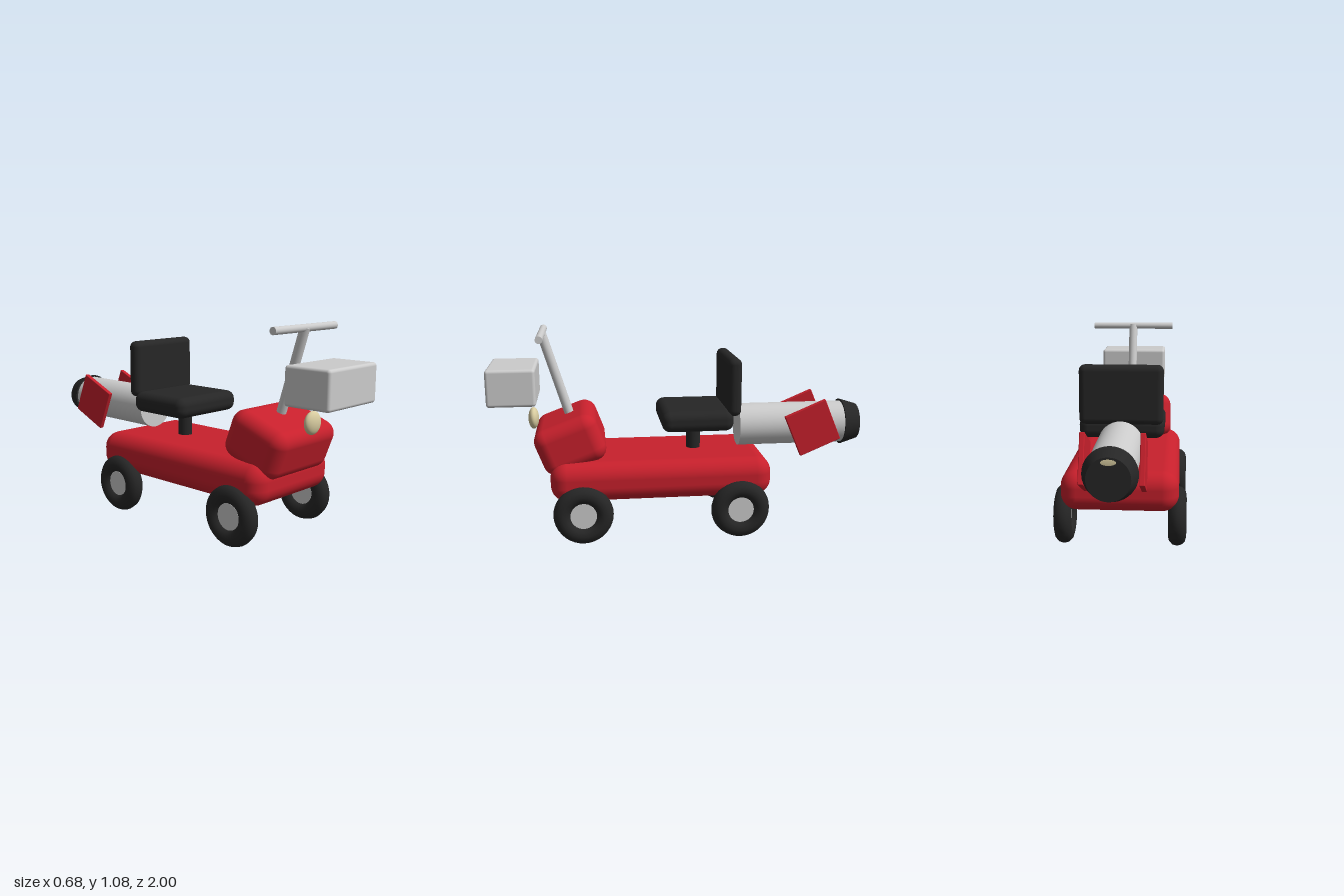
import * as THREE from 'three';
import { RoundedBoxGeometry } from 'three/addons/geometries/RoundedBoxGeometry.js';

const paint = (name, color) => {
  const m = new THREE.MeshStandardMaterial({ color });
  m.name = name;
  return m;
};

export function createModel() {
  const red = paint('red paint', 0xc8202c);
  const black = paint('black rubber', 0x262626);
  const silver = paint('silver metal', 0xcccccc);
  const cream = paint('cream glass', 0xd8cca0);

  const model = new THREE.Group();
  model.name = 'rocketCart';

  const add = (name, geometry, material, x, y, z, parent = model) => {
    const mesh = new THREE.Mesh(geometry, material);
    mesh.name = name;
    mesh.position.set(x, y, z);
    parent.add(mesh);
    return mesh;
  };
  const rounded = (w, h, d, r) => new RoundedBoxGeometry(w, h, d, 5, r);

  // Chassis and tilted front hood
  add('chassis', rounded(0.6, 0.21, 1.16, 0.085), red, 0, 0.315, 0.112);
  add('hood', rounded(0.48, 0.256, 0.342, 0.068), red, 0, 0.5, 0.585).rotation.x = 0.36;

  // Four wheels: tyre ring with a hub disc
  const tyre = new THREE.TorusGeometry(0.108, 0.047, 12, 36).rotateY(Math.PI / 2);
  const hub = new THREE.CylinderGeometry(0.068, 0.068, 0.05, 32).rotateZ(Math.PI / 2);
  for (const [end, z] of [['front', 0.527], ['rear', -0.295]]) {
    for (const [side, s] of [['Left', 1], ['Right', -1]]) {
      const wheel = new THREE.Group();
      wheel.name = end + side + 'Wheel';
      wheel.position.set(s * 0.2925, 0.155, z);
      add('tyre', tyre, black, 0, 0, 0, wheel);
      add('hub', hub, silver, 0, 0, 0, wheel);
      model.add(wheel);
    }
  }

  // Seat on its post
  add('seatPost', new THREE.CylinderGeometry(0.038, 0.038, 0.2, 24), black, 0, 0.48, -0.082);
  add('seatCushion', rounded(0.44, 0.11, 0.38, 0.045), black, 0, 0.607, -0.083);
  add('seatBack', rounded(0.43, 0.305, 0.07, 0.032), black, 0, 0.784, -0.276);

  // Steering column and handlebar
  const low = new THREE.Vector3(0, 0.57, 0.571);
  const high = new THREE.Vector3(0, 1.06, 0.72);
  const dir = high.clone().sub(low);
  const column = add('steeringColumn',
    new THREE.CylinderGeometry(0.025, 0.025, dir.length(), 20), silver, 0, 0.815, 0.6455);
  column.quaternion.setFromUnitVectors(new THREE.Vector3(0, 1, 0), dir.normalize());
  add('handlebar', new THREE.CylinderGeometry(0.019, 0.019, 0.486, 20).rotateZ(Math.PI / 2),
    silver, 0, 1.056, 0.72);

  // Front carrier box and headlight
  add('frontBox', rounded(0.39, 0.192, 0.25, 0.016), silver, 0, 0.805, 0.875);
  add('headlight', new THREE.SphereGeometry(0.058, 32, 20).scale(1, 1, 0.48), cream, 0, 0.607, 0.778);

  // Rear booster: tube, flared nozzle, glow spot and side fins
  add('boosterTube', new THREE.CylinderGeometry(0.115, 0.115, 0.585, 36).rotateX(Math.PI / 2),
    silver, 0, 0.54, -0.6175);
  add('boosterNozzle', new THREE.CylinderGeometry(0.098, 0.126, 0.09, 36).rotateX(-Math.PI / 2),
    black, 0, 0.54, -0.954);
  add('nozzleGlow', new THREE.SphereGeometry(0.04, 20, 10).scale(1, 0.4, 0.05), cream, 0, 0.615, -0.998);
  for (const [name, s] of [['leftFin', 1], ['rightFin', -1]]) {
    add(name, rounded(0.025, 0.238, 0.238, 0.004), red, s * 0.137, 0.542, -0.717).rotation.x = 0.4;
  }

  return model;
}
